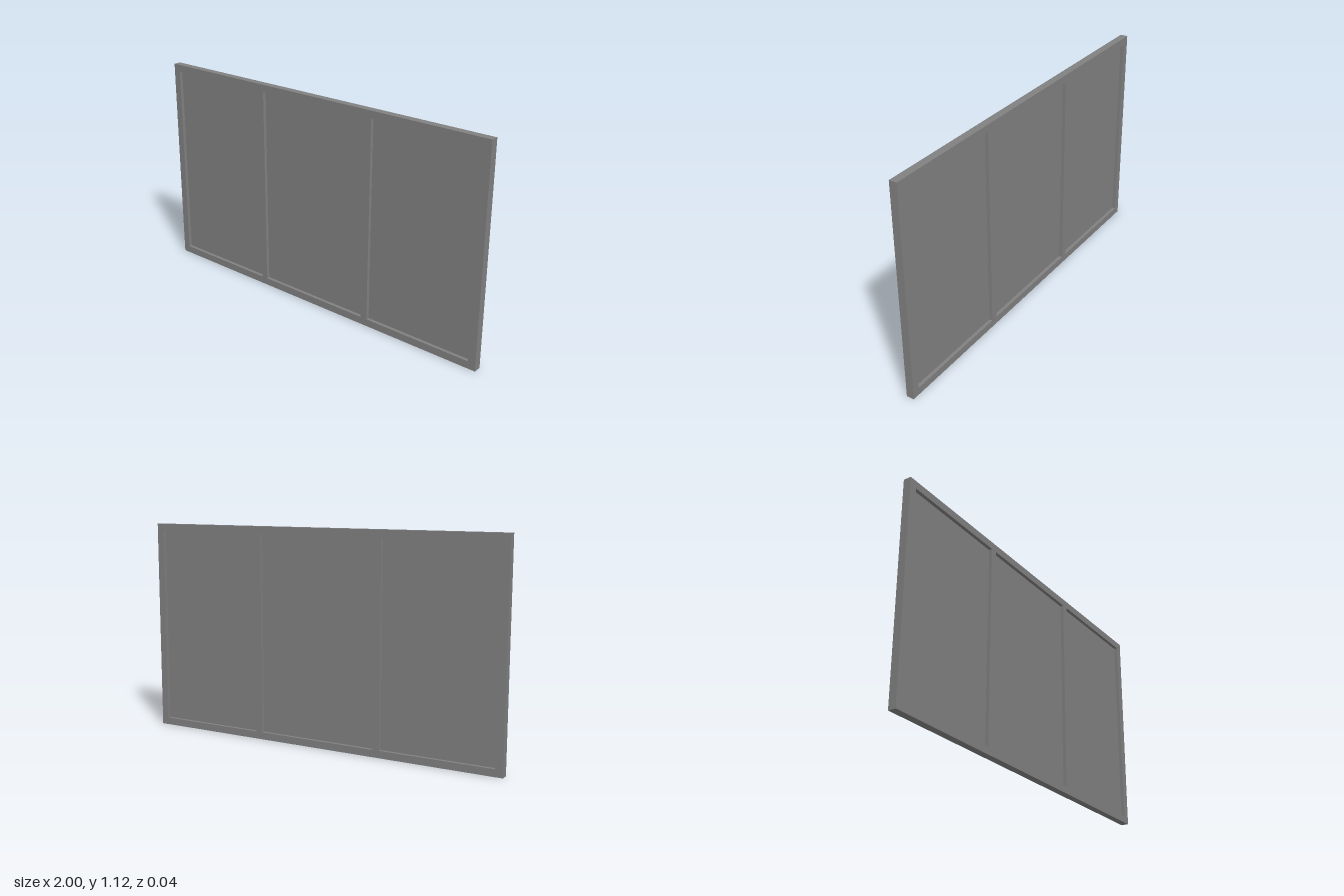
import * as THREE from 'three';

const HEIGHT = 1.122, DEPTH = 0.04, PANE_DEPTH = 0.004;
const BOTTOM = 0.038, TOP = 1.083;
// left and right edges of each opening
const OPENINGS = [[-0.96, -0.363], [-0.327, 0.327], [0.363, 0.96]];

function rectangle(target, x0, y0, x1, y1) {
  target.moveTo(x0, y0);
  target.lineTo(x1, y0);
  target.lineTo(x1, y1);
  target.lineTo(x0, y1);
  target.closePath();
  return target;
}

export function createModel() {
  const model = new THREE.Group();
  model.name = 'window';
  const material = new THREE.MeshStandardMaterial({ color: 0x808080 });

  // Outer frame and the two mullions, cut from one slab
  const outline = rectangle(new THREE.Shape(), -1, 0, 1, HEIGHT);
  for (const [x0, x1] of OPENINGS) {
    outline.holes.push(rectangle(new THREE.Path(), x0, BOTTOM, x1, TOP));
  }
  const frameGeometry = new THREE.ExtrudeGeometry(outline, { depth: DEPTH, bevelEnabled: false });
  frameGeometry.translate(0, 0, -DEPTH / 2);
  const frame = new THREE.Mesh(frameGeometry, material);
  frame.name = 'frame';
  model.add(frame);

  // Thin panes set midway through the frame
  const names = ['rightPane', 'middlePane', 'leftPane'];
  OPENINGS.forEach(([x0, x1], i) => {
    const pane = new THREE.Mesh(new THREE.BoxGeometry(x1 - x0, TOP - BOTTOM, PANE_DEPTH), material);
    pane.position.set((x0 + x1) / 2, (BOTTOM + TOP) / 2, 0);
    pane.name = names[i];
    model.add(pane);
  });

  return model;
}
